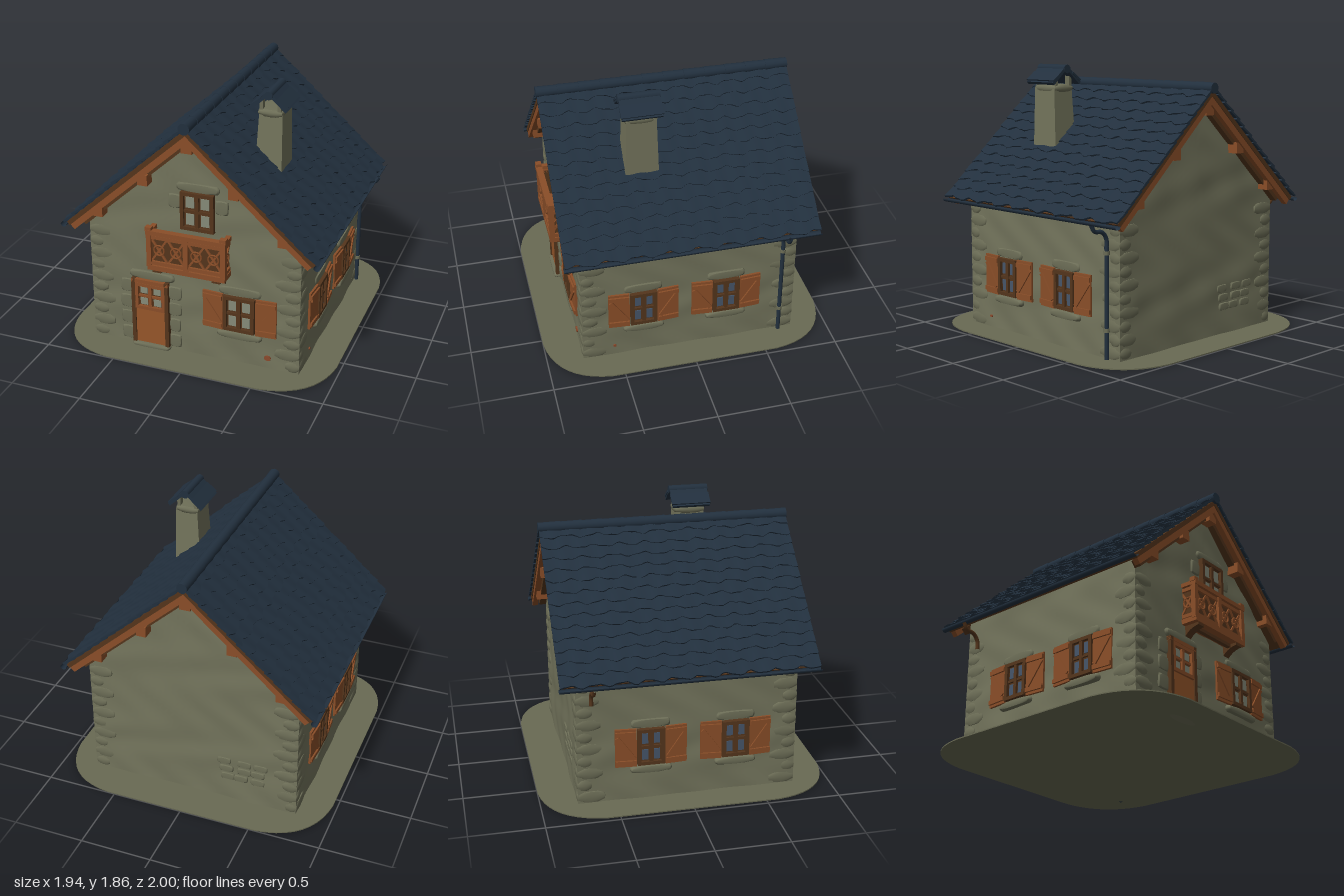
import * as THREE from 'three';

const mat = (name, color, side = THREE.FrontSide) => {
  const m = new THREE.MeshStandardMaterial({ color, side });
  m.name = name;
  return m;
};

export function createModel() {
  const plaster = mat('plaster', 0x73745c), stone = mat('stone', 0x6d6e57);
  const ground = mat('ground', 0x696a53), slate = mat('slate', 0x22303e, THREE.DoubleSide);
  const wood = mat('wood', 0x8a4e28), darkWood = mat('dark wood', 0x54351c);
  const doorWood = mat('door wood', 0x96562a), glass = mat('glass', 0x858a78), blueGlass = mat('blue glass', 0x46566a);
  const brick = mat('brick', 0x8a4a2c);

  const model = new THREE.Group();
  model.name = 'cottage';

  const add = (parent, name, geo, material, x = 0, y = 0, z = 0) => {
    const m = new THREE.Mesh(geo, material);
    m.name = name;
    m.position.set(x, y, z);
    parent.add(m);
    return m;
  };
  const box = (parent, name, material, w, h, d, x, y, z, rz = 0) => {
    const m = add(parent, name, new THREE.BoxGeometry(w, h, d), material, x, y, z);
    m.rotation.z = rz;
    return m;
  };
  const group = (parent, name, x, y, z, ry = 0) => {
    const g = new THREE.Group();
    g.name = name;
    g.position.set(x, y, z);
    g.rotation.y = ry;
    parent.add(g);
    return g;
  };
  let seed = 7;
  const rnd = () => (seed = (seed * 16807) % 2147483647) / 2147483647;

  // Rounded ground slab
  const X = 0.97, Z = 1, R = 0.42, s = new THREE.Shape();
  s.moveTo(-X + R, -Z).lineTo(X - R, -Z).quadraticCurveTo(X - 0.04, -Z + 0.04, X, -Z + R);
  s.lineTo(X, Z - R).quadraticCurveTo(X - 0.04, Z - 0.04, X - R, Z).lineTo(-X + R, Z);
  s.quadraticCurveTo(-X + 0.04, Z - 0.04, -X, Z - R).lineTo(-X, -Z + R);
  s.quadraticCurveTo(-X + 0.04, -Z + 0.04, -X + R, -Z);
  add(model, 'ground', new THREE.ExtrudeGeometry(s, { depth: 0.008, bevelEnabled: false, curveSegments: 10 })
    .rotateX(-Math.PI / 2), ground);

  // Uneven plaster walls; the end walls rise to a gable
  const W = 0.755, D = 0.75, RIDGE = 1.71, RUN = 0.885, FALL = 0.8;
  const roofY = x => RIDGE - Math.abs(x) * FALL / RUN;
  const wall = (name, half, gable, x, z, ry) => {
    const geo = new THREE.PlaneGeometry(2 * half, 1, 36, 36), p = geo.attributes.position;
    for (let i = 0; i < p.count; i++) {
      const u = p.getX(i), y = (p.getY(i) + 0.5) * ((gable ? roofY(u) : roofY(W)) - 0.05);
      const edge = Math.min(1, (half - Math.abs(u)) * 8);
      const bump = Math.sin(u * 11 + ry * 3 + Math.sin(y * 9) * 1.5) * Math.sin(y * 13 + u * 5);
      p.setXYZ(i, u, y, bump * 0.007 * edge);
    }
    geo.computeVertexNormals();
    add(model, name, geo, plaster, x, 0, z).rotation.y = ry;
  };
  wall('frontWall', W, true, 0, D, 0);
  wall('backWall', W, true, 0, -D, Math.PI);
  wall('rightWall', D, false, W, 0, Math.PI / 2);
  wall('leftWall', D, false, -W, 0, -Math.PI / 2);

  // Soft squashed stones for the corners, lintels and sills
  const pebble = (parent, name, w, h, d, x, y, z) => {
    const geo = new THREE.BoxGeometry(w, h, d, 4, 4, 4), p = geo.attributes.position;
    for (let i = 0; i < p.count; i++) {
      const q = [p.getX(i) / w * 2, p.getY(i) / h * 2, p.getZ(i) / d * 2];
      const f = 1 - 0.09 * (Math.abs(q[0] * q[1]) ** 3 + Math.abs(q[1] * q[2]) ** 3 + Math.abs(q[0] * q[2]) ** 3);
      p.setXYZ(i, p.getX(i) * f, p.getY(i) * f, p.getZ(i) * f);
    }
    geo.computeVertexNormals();
    return add(parent, name, geo, stone, x, y, z);
  };
  for (const sx of [-1, 1]) for (const sz of [-1, 1]) {
    for (let i = 0; i < 10; i++) {
      const a = (i % 2 ? 0.17 : 0.1) + rnd() * 0.03, b = (i % 2 ? 0.1 : 0.17) + rnd() * 0.03;
      pebble(model, 'cornerStone', a, 0.085, b, sx * (W + 0.008 - a / 2), 0.05 + i * 0.088, sz * (D + 0.008 - b / 2));
    }
  }
  for (let i = 0; i < 9; i++)
    pebble(model, 'wallStone', 0.1, 0.05, 0.02, -0.5 + (i % 3) * 0.12 + rnd() * 0.03, 0.2 + Math.floor(i / 3) * 0.065, -D);

  // Roof: each side has boards, rafters, wavy slate courses and a gutter
  const L = Math.hypot(RUN, FALL), pitch = Math.atan2(FALL, RUN), COURSES = 14, LEN = 1.73;
  for (const ry of [0, Math.PI]) {
    const side = group(model, 'roofSide', 0, 0, 0, ry);
    const slope = group(side, 'roofSlope', 0, RIDGE, 0);
    slope.rotation.z = -pitch;
    box(slope, 'roofBoards', darkWood, L - 0.02, 0.03, 1.7, L / 2, -0.02, 0);
    for (const sz of [-1, 1]) {
      box(slope, 'bargeRafter', wood, L - 0.03, 0.045, 0.04, L / 2, -0.055, sz * 0.825);
      box(slope, 'innerRafter', darkWood, L - 0.1, 0.05, 0.05, L / 2 - 0.03, -0.075, sz * 0.775);
    }
    for (let i = 0; i < COURSES; i++) {
      const w = L / COURSES + 0.03, geo = new THREE.BoxGeometry(w, 0.014, LEN, 1, 1, 72), p = geo.attributes.position;
      const ph = rnd() * 6, k = 30 + rnd() * 8;
      for (let j = 0; j < p.count; j++) {
        const z = p.getZ(j);
        if (p.getX(j) > 0) {
          p.setX(j, p.getX(j) + 0.012 * Math.sin(z * k + ph) + 0.005 * Math.sin(z * 71 + ph));
          p.setY(j, p.getY(j) + 0.004 * Math.sin(z * 47 + ph));
        }
      }
      geo.computeVertexNormals();
      add(slope, 'slateCourse', geo, slate, (i + 1) * L / COURSES - w / 2, 0.009, 0).rotation.z = 0.1;
    }
    const gutter = new THREE.CylinderGeometry(0.022, 0.022, 1.74, 10, 1, true, -Math.PI / 2, Math.PI).rotateX(Math.PI / 2);
    add(side, 'gutter', gutter, slate, 0.89, 0.905, 0);
    box(side, 'eavePurlin', wood, 0.07, 0.075, 1.66, 0.65, 1.02, 0);
    box(side, 'middlePurlin', wood, 0.07, 0.075, 1.66, 0.315, 1.3, 0);
  }
  box(model, 'ridgePurlin', wood, 0.075, 0.1, 1.66, 0, 1.585, 0);
  for (let i = 0; i < 12; i++) {
    const cap = new THREE.CylinderGeometry(0.04, 0.036, 0.155, 12).rotateX(Math.PI / 2);
    add(model, 'ridgeTile', cap, slate, 0, 1.715, -0.792 + i * 0.144);
  }

  // Downpipes with curved necks; only the right one reaches the ground
  const v = (x, y, z) => new THREE.Vector3(x, y, z);
  for (const sx of [-1, 1]) {
    const neck = new THREE.CatmullRomCurve3([v(sx * 0.905, 0.89, -0.65), v(sx * 0.88, 0.85, -0.65),
      v(sx * 0.81, 0.835, -0.65), v(sx * 0.775, 0.79, -0.65), v(sx * 0.772, 0.73, -0.65)]);
    add(model, 'pipeNeck', new THREE.TubeGeometry(neck, 16, 0.014, 8), sx > 0 ? slate : darkWood);
  }
  add(model, 'downpipe', new THREE.CylinderGeometry(0.015, 0.015, 0.74, 8), slate, 0.772, 0.37, -0.65);
  for (const y of [0.2, 0.7]) add(model, 'pipeClamp', new THREE.CylinderGeometry(0.02, 0.02, 0.025, 8), stone, 0.772, y, -0.65);

  // Chimney: tapered stack, collar, posts and a small gabled cap
  const chimney = group(model, 'chimney', 0.395, 0, 0.26);
  const stack = new THREE.BoxGeometry(0.16, 0.46, 0.2), sp = stack.attributes.position;
  for (let i = 0; i < sp.count; i++) if (sp.getY(i) < 0) {
    sp.setX(i, sp.getX(i) < 0 ? -0.105 : 0.085);
    sp.setZ(i, sp.getZ(i) * 1.15);
  }
  stack.computeVertexNormals();
  add(chimney, 'stack', stack, plaster, 0.005, 1.46, 0);
  pebble(chimney, 'collar', 0.18, 0.055, 0.23, 0, 1.692, 0);
  for (const sx of [-1, 1]) {
    for (const sz of [-1, 1]) box(chimney, 'capPost', stone, 0.025, 0.07, 0.04, sx * 0.062, 1.74, sz * 0.08);
    box(chimney, 'capSlope', slate, 0.165, 0.022, 0.27, sx * 0.062, 1.782, 0, -sx * 0.74);
    box(chimney, 'capSlates', slate, 0.09, 0.015, 0.28, sx * 0.087, 1.772, 0, -sx * 0.66);
  }
  add(chimney, 'capRidge', new THREE.CylinderGeometry(0.03, 0.03, 0.28, 10).rotateX(Math.PI / 2), slate, 0, 1.825, 0);

  // Glazed frame with two columns of panes, facing +z
  const glazing = (g, w, h, rows, pane, frame) => {
    box(g, 'recess', darkWood, w, h, 0.012, 0, 0, 0.006);
    const t = 0.024, cw = (w - 3 * t) / 2, rh = (h - (rows + 1) * t) / rows;
    for (const sx of [-1, 1]) {
      box(g, 'frameSide', frame, t, h, 0.035, sx * (w - t) / 2, 0, 0.017);
      box(g, 'frameRail', frame, w, t, 0.035, 0, sx * (h - t) / 2, 0.017);
      for (let r = 0; r < rows; r++)
        box(g, 'pane', pane, cw * 0.72, rh * 0.8, 0.006, sx * (cw + t) / 2, -h / 2 + t + rh / 2 + r * (rh + t), 0.015);
    }
    box(g, 'mullion', frame, t, h, 0.03, 0, 0, 0.015);
    for (let r = 1; r < rows; r++) box(g, 'glazingBar', frame, w, 0.016, 0.025, 0, -h / 2 + t / 2 + r * (rh + t), 0.013);
  };

  // Shuttered window with stone sill and lintel
  const shuttered = (x, y, z, ry, w, pane) => {
    const g = group(model, 'shutteredWindow', x, y, z, ry);
    glazing(g, w, 0.26, 2, pane, darkWood);
    pebble(g, 'sill', w + 0.1, 0.05, 0.06, 0, -0.165, 0.005);
    pebble(g, 'lintel', w + 0.08, 0.06, 0.03, 0, 0.165, 0);
    for (const sx of [-1, 1]) {
      const sh = group(g, 'shutter', sx * (w / 2 + 0.078), 0, 0.012, sx * 0.07);
      box(sh, 'shutterBoards', wood, 0.145, 0.275, 0.016, 0, 0, 0);
      for (const sy of [-1, 1]) box(sh, 'shutterRail', wood, 0.14, 0.03, 0.016, 0, sy * 0.105, 0.012);
      box(sh, 'shutterBrace', wood, 0.2, 0.028, 0.014, 0, 0, 0.011, sx * 0.95);
    }
  };
  shuttered(0.335, 0.395, D, 0, 0.22, glass);
  for (const sx of [-1, 1]) for (const z of [0.325, -0.255])
    shuttered(sx * W, 0.395, z, sx * Math.PI / 2, 0.185, blueGlass);

  // Front door: glazed top and solid lower panel
  const door = group(model, 'frontDoor', -0.31, 0, D);
  const top = group(door, 'doorGlazing', 0, 0.4, 0);
  glazing(top, 0.22, 0.2, 2, glass, wood);
  box(door, 'doorPanel', doorWood, 0.22, 0.265, 0.03, 0, 0.163, 0.01);
  for (const sx of [-1, 1]) box(door, 'doorJamb', darkWood, 0.028, 0.5, 0.045, sx * 0.122, 0.28, 0.012);
  box(door, 'doorHead', wood, 0.272, 0.026, 0.045, 0, 0.515, 0.012);
  pebble(door, 'doorLintel', 0.33, 0.06, 0.04, 0.01, 0.56, 0);
  pebble(door, 'doorStep', 0.28, 0.035, 0.08, 0, 0.016, 0.01);
  for (const sx of [-1, 1]) for (let i = 0; i < 4; i++)
    pebble(door, 'jambStone', 0.07 + rnd() * 0.04, 0.1, 0.025, sx * 0.175, 0.08 + i * 0.125, 0);

  // Gable window above the balcony
  const upper = group(model, 'gableWindow', 0.045, 1.105, D);
  glazing(upper, 0.235, 0.27, 2, glass, darkWood);
  pebble(upper, 'gableLintel', 0.3, 0.06, 0.035, 0, 0.165, 0);
  for (const sx of [-1, 1]) pebble(upper, 'gableStone', 0.09, 0.1, 0.025, sx * 0.165, 0.05, 0);

  // Balcony with latticed panels on curved brackets
  const balcony = group(model, 'balcony', -0.005, 0, 0);
  box(balcony, 'floor', wood, 0.55, 0.035, 0.125, 0, 0.69, D + 0.055);
  const lattice = (g, w) => {
    box(g, 'panelBack', darkWood, w, 0.2, 0.006, 0, 0.82, -0.008);
    for (const y of [0.725, 0.915]) box(g, 'panelRail', wood, w, 0.025, 0.022, 0, y, 0);
    const n = Math.max(1, Math.round(w / 0.12));
    for (let i = 0; i < n; i++) {
      const x = (i + 0.5) * w / n - w / 2;
      for (const r of [-1, 1]) box(g, 'latticeBar', wood, 0.2, 0.014, 0.01, x, 0.82, 0, r * 0.98);
      add(g, 'latticeRing', new THREE.TorusGeometry(0.036, 0.007, 5, 14), wood, x, 0.82, 0.002);
    }
  };
  for (const sx of [-1, 1]) {
    lattice(group(balcony, 'frontPanel', sx * 0.132, 0, 0.85), 0.24);
    lattice(group(balcony, 'sidePanel', sx * 0.262, 0, 0.8, sx * Math.PI / 2), 0.1);
    box(balcony, 'sideHandrail', wood, 0.035, 0.028, 0.11, sx * 0.262, 0.95, 0.8);
    const b = new THREE.Shape();
    b.moveTo(0, 0.68).lineTo(0.11, 0.68).lineTo(0.11, 0.655).quadraticCurveTo(0.04, 0.65, 0, 0.6);
    const bracket = new THREE.ExtrudeGeometry(b, { depth: 0.06, bevelEnabled: false }).rotateY(-Math.PI / 2);
    add(balcony, 'bracket', bracket, darkWood, sx * 0.21 + 0.03, 0, D);
  }
  for (const x of [-0.262, 0, 0.262]) {
    box(balcony, 'post', wood, 0.034, 0.27, 0.034, x, 0.83, 0.85);
    if (x) box(balcony, 'postCap', wood, 0.045, 0.03, 0.04, x, 0.972, 0.85);
  }
  box(balcony, 'handrail', wood, 0.56, 0.03, 0.045, 0, 0.95, 0.85);
  box(balcony, 'underBeam', darkWood, 0.48, 0.03, 0.03, 0, 0.665, 0.8);

  // Bare brick patches where the plaster has fallen
  const patch = (x, y, z, r, ry) => {
    const m = add(model, 'brickPatch', new THREE.CylinderGeometry(r, r, 0.009, 7).rotateX(Math.PI / 2), brick, x, y, z);
    m.rotation.y = ry;
    m.scale.y = 0.8;
  };
  patch(0.535, 0.09, D + 0.006, 0.025, 0);
  patch(W + 0.006, 0.085, 0.53, 0.012, Math.PI / 2);

  return model;
}
